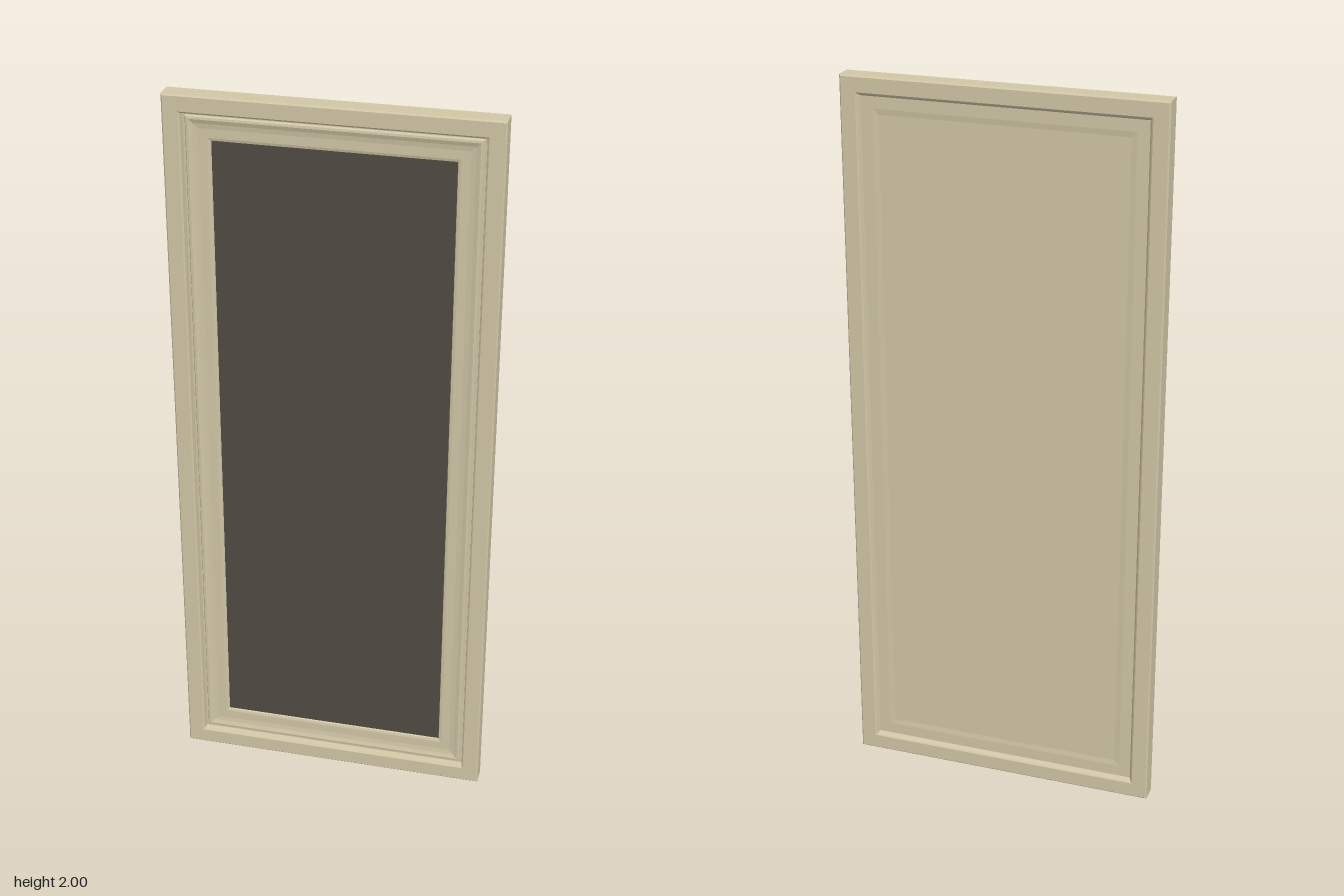
import * as THREE from 'three';

const HALF_W = 0.433, HEIGHT = 2;

// Rectangular ring of four corners at a given inset from the outer edge
function ring([inset, z]) {
  const x = HALF_W - inset, y0 = inset, y1 = HEIGHT - inset;
  return [[-x, y0, z], [x, y0, z], [x, y1, z], [-x, y1, z]];
}

// Sweep a profile of [inset, z] points around the rectangle with mitred corners
function mitredFrame(profile) {
  const pos = [];
  for (let i = 0; i < profile.length - 1; i++) {
    const a = ring(profile[i]), b = ring(profile[i + 1]);
    for (let j = 0; j < 4; j++) {
      const k = (j + 1) % 4;
      pos.push(...a[j], ...a[k], ...b[k], ...a[j], ...b[k], ...b[j]);
    }
  }
  const g = new THREE.BufferGeometry();
  g.setAttribute('position', new THREE.Float32BufferAttribute(pos, 3));
  g.computeVertexNormals();
  return g;
}

export function createModel() {
  const cream = new THREE.MeshStandardMaterial({ color: 0xd0c6a6 });
  cream.name = 'cream paint';
  const dark = new THREE.MeshStandardMaterial({ color: 0x504b43 });
  dark.name = 'dark panel';

  const group = new THREE.Group();
  group.name = 'framedPanel';
  const add = (name, geometry, material) => {
    const mesh = new THREE.Mesh(geometry, material);
    mesh.name = name;
    group.add(mesh);
    return mesh;
  };

  // Outer rim with softened edges, open towards the middle
  add('outerRim', mitredFrame([
    [0.053, -0.016], [0.047, -0.027], [0.043, -0.03],
    [0.004, -0.03], [0, -0.026],
    [0, 0.023], [0.004, 0.027],
    [0.043, 0.027], [0.047, 0.024], [0.05, 0.008],
  ]), cream);

  // Front moulding: groove, bead, shallow cove and a lip down to the panel
  add('frontMoulding', mitredFrame([
    [0.05, 0.008], [0.055, 0.008], [0.058, 0.014], [0.064, 0.015],
    [0.075, 0.011], [0.088, 0.009], [0.112, 0.009],
    [0.119, 0.007], [0.122, 0.0],
  ]), cream);

  // Back moulding sloping gently to the flat back
  add('backMoulding', mitredFrame([
    [0.1, -0.014], [0.085, -0.016], [0.06, -0.016], [0.053, -0.016],
  ]), cream);

  // Dark panel set into the front
  const panelW = 2 * (HALF_W - 0.12), panelH = HEIGHT - 0.24;
  add('frontPanel', new THREE.BoxGeometry(panelW, panelH, 0.006), dark)
    .position.set(0, HEIGHT / 2, 0);

  // Flat back panel
  const backW = 2 * (HALF_W - 0.1), backH = HEIGHT - 0.2;
  add('backPanel', new THREE.BoxGeometry(backW, backH, 0.008), cream)
    .position.set(0, HEIGHT / 2, -0.01);

  return group;
}
